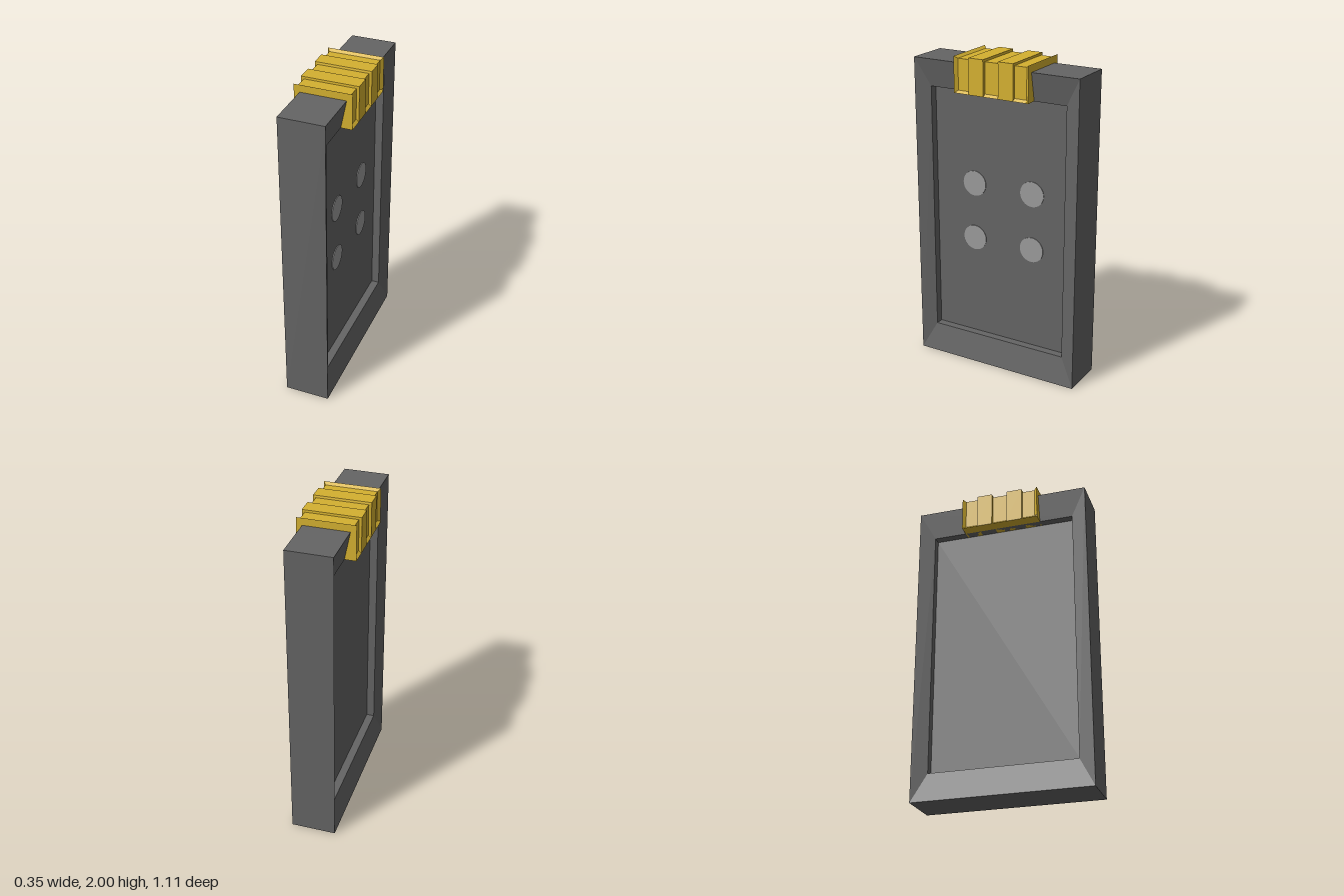
import * as THREE from 'three';

// Closed faceted solid through rings of equal point count, from the + end to the - end of an axis.
// Each ring runs counter-clockwise as seen from the + end.
function loft(rings) {
  const pos = [];
  const tri = (...pts) => pts.forEach((p) => pos.push(...p));
  const cap = (r) => { for (let i = 1; i < r.length - 1; i++) tri(r[0], r[i], r[i + 1]); };
  cap(rings[0]);
  for (let k = 0; k < rings.length - 1; k++) {
    const a = rings[k], b = rings[k + 1];
    for (let i = 0; i < a.length; i++) {
      const j = (i + 1) % a.length;
      tri(a[i], b[i], b[j]);
      tri(a[i], b[j], a[j]);
    }
  }
  cap([...rings[rings.length - 1]].reverse());
  const geo = new THREE.BufferGeometry();
  geo.setAttribute('position', new THREE.Float32BufferAttribute(pos, 3));
  geo.computeVertexNormals();
  return geo;
}

export function createModel() {
  const group = new THREE.Group();
  const material = (name, color) => {
    const m = new THREE.MeshStandardMaterial({ color });
    m.name = name;
    return m;
  };
  const darkGrey = material('dark grey', 0x646464);
  const lightGrey = material('light grey', 0x9a9a9a);
  const gold = material('gold', 0xd4b030);
  const add = (name, geo, mat) => {
    const mesh = new THREE.Mesh(geo, mat);
    mesh.name = name;
    group.add(mesh);
    return mesh;
  };

  // Slab with a sloping rim and a recessed panel on each broad side
  const rect = (x, y0, y1, z) => [[x, y0, -z], [x, y1, -z], [x, y1, z], [x, y0, z]];
  const outer = (x) => rect(x, 0, 1.955, 0.555);
  const inner = (x) => rect(x, 0.18, 1.78, 0.46);
  add('body', loft([
    inner(0.055), inner(0.105), outer(0.14),
    outer(-0.14), inner(-0.105), inner(-0.055),
  ]), darkGrey);

  // Ribbed clip over the top edge: full ribs alternate with shallow grooves
  const section = (z, w, low, top) => [
    [0.175, 1.78, z], [w, low, z], [w, top, z],
    [-w, top, z], [-w, low, z], [-0.175, 1.78, z],
  ];
  const full = (z) => section(z, 0.175, 1.795, 2);
  const groove = (z) => section(z, 0.158, 1.795, 1.986);
  add('clip', loft([
    full(0.25), groove(0.23), groove(0.15),
    full(0.149), full(0.05), groove(0.047),
    groove(-0.047), full(-0.05), full(-0.149),
    groove(-0.15), groove(-0.23), full(-0.25),
  ]), gold);

  // Four round spots on one panel
  const disc = new THREE.CylinderGeometry(0.08, 0.08, 0.006, 32).rotateZ(-Math.PI / 2);
  for (const y of [0.83, 1.19]) {
    for (const z of [0.187, -0.215]) add('spot', disc, lightGrey).position.set(0.056, y, z);
  }
  return group;
}
